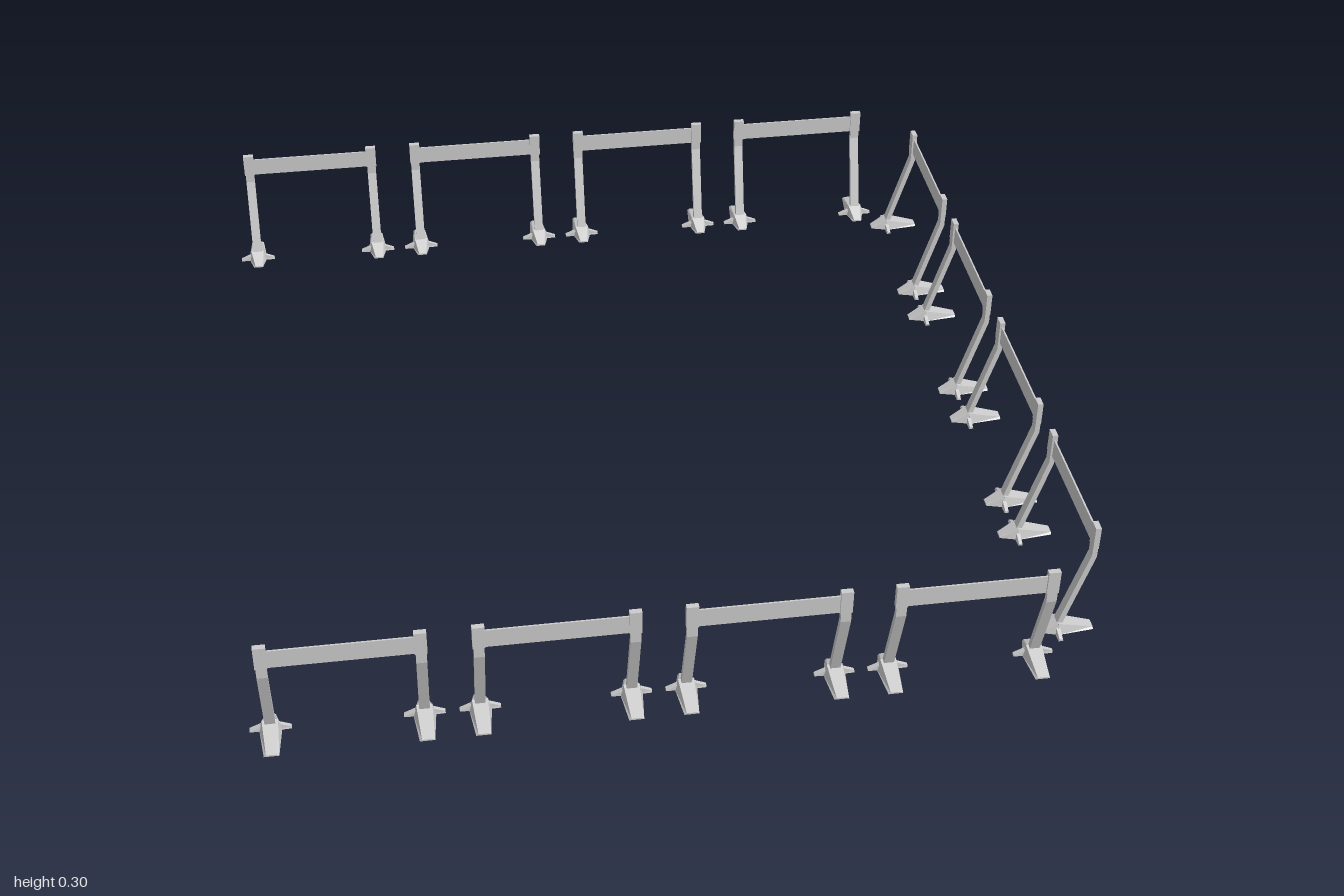
import * as THREE from 'three';

const material = new THREE.MeshStandardMaterial({ color: 0xcccccc, flatShading: true });

function mesh(name, geometry) {
  const m = new THREE.Mesh(geometry, material);
  m.name = name;
  return m;
}

// Foot prong running along +z: a box tapered from root to tip, narrower on top
function prongGeometry(length, rootWidth, rootHeight, tipWidth, tipHeight) {
  const g = new THREE.BoxGeometry(1, 1, 1);
  const p = g.attributes.position;
  for (let i = 0; i < p.count; i++) {
    const tip = p.getZ(i) > 0;
    const top = p.getY(i) > 0;
    const width = (tip ? tipWidth : rootWidth) * (top ? 0.7 : 1);
    p.setXYZ(i, p.getX(i) * width, top ? (tip ? tipHeight : rootHeight) : 0, tip ? length : 0);
  }
  g.computeVertexNormals();
  return g;
}

const longProng = prongGeometry(0.083, 0.05, 0.027, 0.033, 0.004);
const shortProng = prongGeometry(0.042, 0.048, 0.027, 0.024, 0.004);
const sideProng = prongGeometry(0.045, 0.014, 0.024, 0.011, 0.005);

// Post: leans outward from the foot, then stands upright at the top
function postGeometry(points, width) {
  const shape = new THREE.Shape(points.map(([z, y]) => new THREE.Vector2(z, y)));
  const g = new THREE.ExtrudeGeometry(shape, { depth: width, bevelEnabled: false });
  g.translate(0, 0, -width / 2);
  g.rotateY(-Math.PI / 2);
  return g;
}

const leanGeometry = postGeometry(
  [[-0.007, 0.01], [0.006, 0.01], [0.067, 0.213], [0.067, 0.24], [0.055, 0.24], [0.055, 0.217]], 0.023);
const headGeometry = new THREE.BoxGeometry(0.027, 0.058, 0.013);
const railGeometry = new THREE.BoxGeometry(0.33, 0.046, 0.004);

function createLeg() {
  const leg = new THREE.Group();
  leg.name = 'leg';
  leg.add(mesh('post', leanGeometry));
  const head = mesh('postHead', headGeometry);
  head.position.set(0, 0.267, 0.061);
  leg.add(head);

  // Four-pronged foot
  const foot = new THREE.Group();
  foot.name = 'foot';
  [longProng, sideProng, shortProng, sideProng].forEach((geometry, i) => {
    const prong = mesh('footProng', geometry);
    prong.rotation.y = (i * Math.PI) / 2;
    foot.add(prong);
  });
  leg.add(foot);
  return leg;
}

// One barrier: two legs joined by a thin rail, outer side toward +z
function createBarrier() {
  const barrier = new THREE.Group();
  barrier.name = 'barrier';
  for (const side of [-1, 1]) {
    const leg = createLeg();
    leg.position.x = side * 0.1655;
    barrier.add(leg);
  }
  const rail = mesh('rail', railGeometry);
  rail.position.set(0, 0.26, 0.061);
  barrier.add(rail);
  return barrier;
}

export function createModel() {
  const model = new THREE.Group();
  model.name = 'barrierFence';
  // Three rows of four barriers, open on the -x side
  const rows = [
    { name: 'frontRow', x: -0.06, z: 0.916, turn: 0 },
    { name: 'backRow', x: -0.06, z: -0.916, turn: Math.PI },
    { name: 'leftRow', x: 0.857, z: 0, turn: Math.PI / 2 },
  ];
  for (const { name, x, z, turn } of rows) {
    const row = new THREE.Group();
    row.name = name;
    for (let i = 0; i < 4; i++) {
      const barrier = createBarrier();
      barrier.position.x = (i - 1.5) * 0.4515;
      row.add(barrier);
    }
    row.position.set(x, 0, z);
    row.rotation.y = turn;
    model.add(row);
  }
  return model;
}
